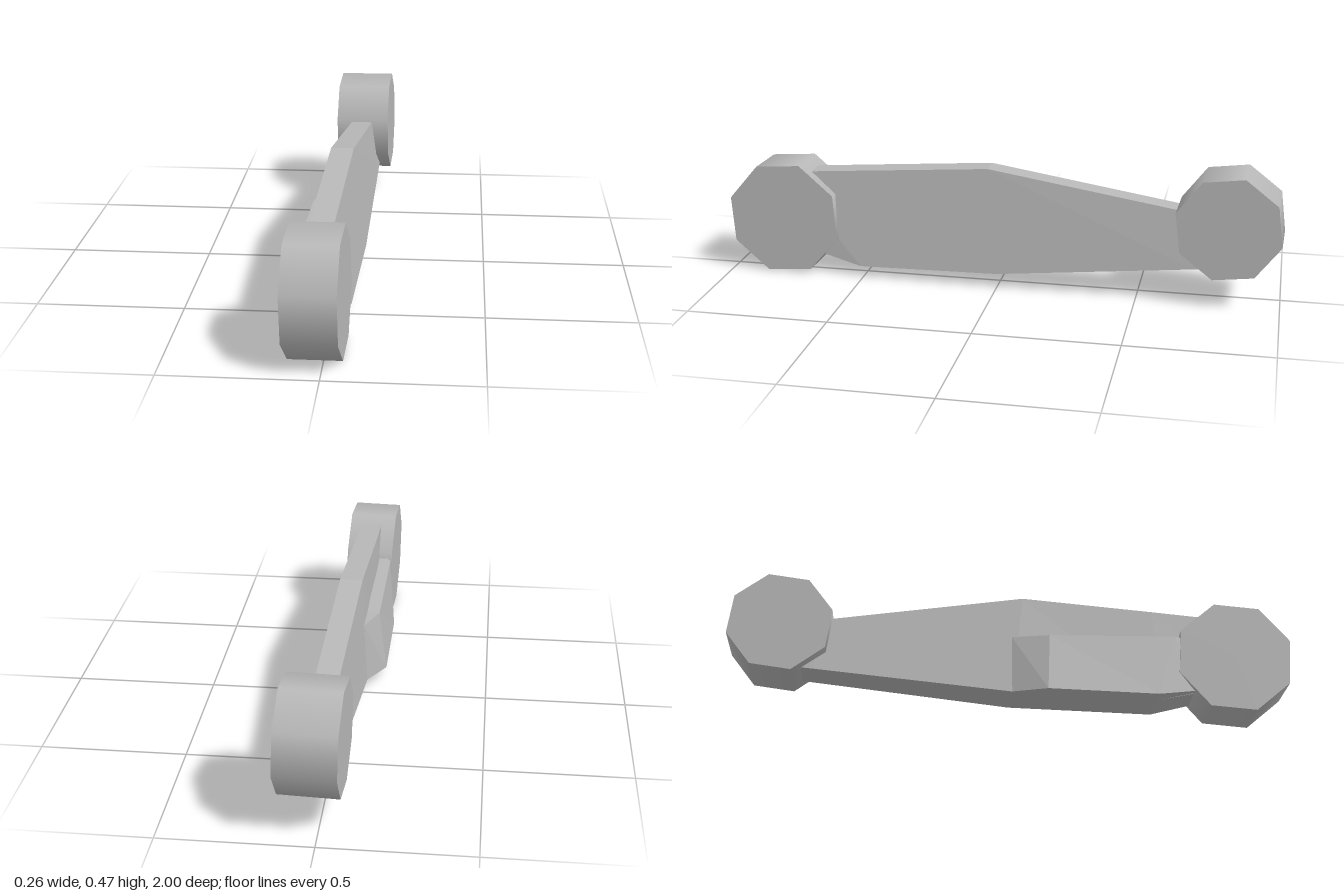
import * as THREE from 'three';

// Loft through four-cornered sections ordered front to back.
// Each section: top [z, y, xRight, xLeft], bottom [z, y, xRight, xLeft].
function loft(sections) {
  const rings = sections.map(([t, b]) => [
    [t[2], t[1], t[0]], [t[3], t[1], t[0]],
    [b[3], b[1], b[0]], [b[2], b[1], b[0]],
  ]);
  const pos = [];
  const quad = (a, b, c, d) => pos.push(...a, ...b, ...c, ...a, ...c, ...d);
  for (let i = 0; i < rings.length - 1; i++) {
    const p = rings[i], q = rings[i + 1];
    for (let k = 0; k < 4; k++) {
      const n = (k + 1) % 4;
      quad(p[k], p[n], q[n], q[k]);
    }
  }
  const f = rings[0], r = rings[rings.length - 1];
  quad(f[0], f[3], f[2], f[1]);
  quad(r[0], r[1], r[2], r[3]);
  const geo = new THREE.BufferGeometry();
  geo.setAttribute('position', new THREE.Float32BufferAttribute(pos, 3));
  geo.computeVertexNormals();
  return geo;
}

export function createModel() {
  const group = new THREE.Group();
  const grey = new THREE.MeshStandardMaterial({ color: 0xb8b8b8 });
  grey.name = 'light grey';

  const add = (name, geo) => {
    const mesh = new THREE.Mesh(geo, grey);
    mesh.name = name;
    group.add(mesh);
    return mesh;
  };

  // Eight-sided pivots with smooth rims, axis slightly off x
  const pivot = (name, radius, width, phase, x, y, z) => {
    const geo = new THREE.CylinderGeometry(radius, radius, width, 8, 1, false,
      -THREE.MathUtils.degToRad(phase));
    geo.rotateZ(-Math.PI / 2);
    const mesh = add(name, geo);
    mesh.position.set(x, y, z);
    mesh.rotation.set(0, -0.03, 0.014);
  };
  pivot('frontPivot', 0.213, 0.175, 18, -0.028, 0.214, 0.795);
  pivot('rearPivot', 0.189, 0.2, 15, 0.025, 0.297, -0.817);

  // Main arm, wider along its lower edge
  add('arm', loft([
    [[0.8, 0.38, -0.062, 0.015], [0.8, 0.12, -0.068, 0.03]],
    [[0.51, 0.403, -0.058, 0.022], [0.51, 0.05, -0.07, 0.06]],
    [[0.04, 0.44, -0.047, 0.033], [0, 0.063, -0.07, 0.076]],
    [[-0.64, 0.338, -0.023, 0.056], [-0.7, 0.135, -0.037, 0.083]],
    [[-0.8, 0.314, -0.018, 0.06], [-0.8, 0.145, -0.03, 0.085]],
  ]));

  // Raised block on the right side of the arm, tapered at both ends
  add('sideBlock', loft([
    [[0.66, 0.288, -0.065, -0.03], [0.66, 0.088, -0.085, -0.03]],
    [[0.58, 0.285, -0.107, -0.03], [0.51, 0.05, -0.13, -0.03]],
    [[0.13, 0.272, -0.102, -0.03], [0.12, 0.055, -0.13, -0.03]],
    [[0, 0.28, -0.056, -0.03], [0, 0.063, -0.07, -0.03]],
  ]));

  return group;
}
